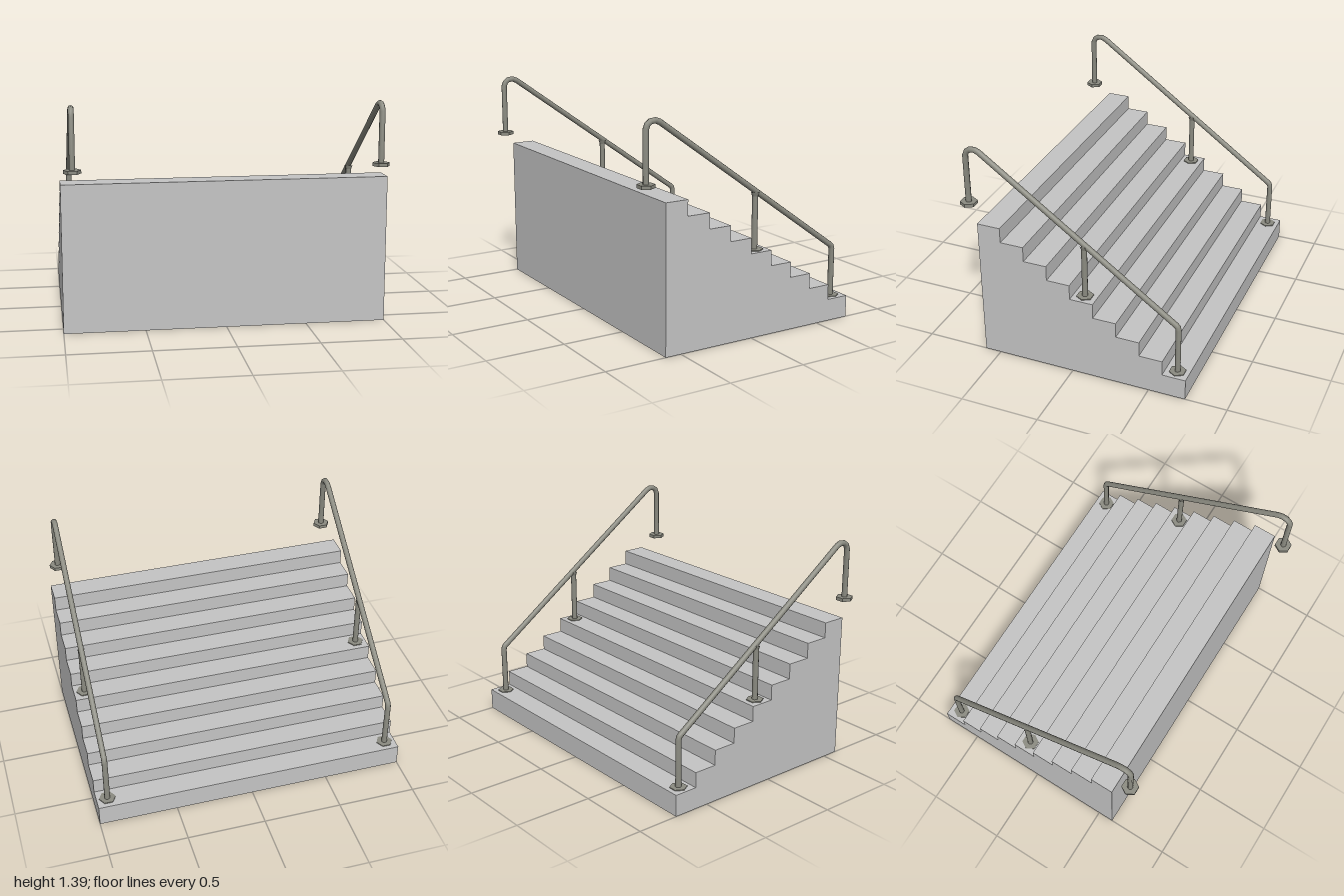
import * as THREE from 'three';

const STEPS = 9, BACK = -0.735, DEPTH = 0.1487, FIRST = 0.138, RISE = 0.0974;
const FRONT = BACK + STEPS * DEPTH, TOP = FIRST + (STEPS - 1) * RISE;
const RAIL_X = 0.93, TUBE_R = 0.018;

// Polyline whose stations are the given points, with mitred bends
class BentPath extends THREE.Curve {
  constructor(points) { super(); this.points = points; }
  index(u) { return Math.round(u * (this.points.length - 1)); }
  getPoint(u) { return this.points[this.index(u)].clone(); }
  getPointAt(u) { return this.getPoint(u); }
  getTangentAt(u) {
    const p = this.points, i = this.index(u), t = new THREE.Vector3();
    if (i > 0) t.add(p[i].clone().sub(p[i - 1]).normalize());
    if (i < p.length - 1) t.add(p[i + 1].clone().sub(p[i]).normalize());
    return t.normalize();
  }
}

export function createModel() {
  const concrete = new THREE.MeshStandardMaterial({ color: 0xc4c4c4, side: THREE.DoubleSide });
  concrete.name = 'concrete grey';
  const metal = new THREE.MeshStandardMaterial({ color: 0x8b8b81 });
  metal.name = 'rail metal';

  const model = new THREE.Group();
  model.name = 'staircase';
  const add = (parent, name, geometry, material, x = 0, y = 0, z = 0) => {
    const mesh = new THREE.Mesh(geometry, material);
    mesh.name = name;
    mesh.position.set(x, y, z);
    parent.add(mesh);
    return mesh;
  };

  // Hollow stair shell, open underneath
  const stairs = new THREE.Group();
  stairs.name = 'stairs';
  model.add(stairs);
  for (let i = 0; i < STEPS; i++) {
    const y = FIRST + i * RISE, z = BACK + i * DEPTH;
    const height = i === 0 ? FIRST : RISE;
    add(stairs, 'tread', new THREE.PlaneGeometry(2, DEPTH).rotateX(-Math.PI / 2), concrete, 0, y, z + DEPTH / 2);
    add(stairs, 'riser', new THREE.PlaneGeometry(2, height).rotateY(Math.PI), concrete, 0, y - height / 2, z);
  }
  add(stairs, 'frontWall', new THREE.PlaneGeometry(2, TOP), concrete, 0, TOP / 2, FRONT);

  // Stepped side walls
  for (const side of [-1, 1]) {
    const profile = [new THREE.Vector2(-side * FRONT, 0), new THREE.Vector2(-side * BACK, 0)];
    for (let i = 0; i < STEPS; i++) {
      const y = FIRST + i * RISE, z = BACK + i * DEPTH;
      profile.push(new THREE.Vector2(-side * z, y), new THREE.Vector2(-side * (z + DEPTH), y));
    }
    const wall = new THREE.ShapeGeometry(new THREE.Shape(profile)).rotateY(side * Math.PI / 2);
    add(stairs, 'sideWall', wall, concrete, side, 0, 0);
  }

  // Handrails: bent tube, middle post and hexagonal floor flanges
  const railPath = [
    [1.0, 0.69], [1.33, 0.69], [1.357, 0.679], [1.372, 0.658], [1.375, 0.628], [1.364, 0.6],
    [0.469, -0.645], [0.459, -0.655], [0.44, -0.66], [0.13, -0.66],
  ].map(([y, z]) => new THREE.Vector3(0, y, z));
  const flanges = [[1.01, 0.69], [0.523, -0.0625], [0.133, -0.66]];

  for (const side of [-1, 1]) {
    const rail = new THREE.Group();
    rail.name = side > 0 ? 'leftHandrail' : 'rightHandrail';
    rail.position.x = side * RAIL_X;
    model.add(rail);
    add(rail, 'railTube', new THREE.TubeGeometry(new BentPath(railPath), railPath.length - 1, TUBE_R, 10), metal);
    add(rail, 'middlePost', new THREE.CylinderGeometry(TUBE_R, TUBE_R, 0.36, 10, 1, true), metal, 0, 0.7, -0.0625);
    // small weld flare under the rail
    add(rail, 'postWeld', new THREE.CylinderGeometry(0.026, TUBE_R, 0.025, 10, 1, true), metal, 0, 0.868, -0.0625);
    for (const [y, z] of flanges) {
      const hex = new THREE.CylinderGeometry(0.053, 0.053, 0.021, 6).rotateY(Math.PI / 2).toNonIndexed();
      hex.computeVertexNormals();
      add(rail, 'flange', hex, metal, 0, y, z);
    }
  }
  return model;
}
